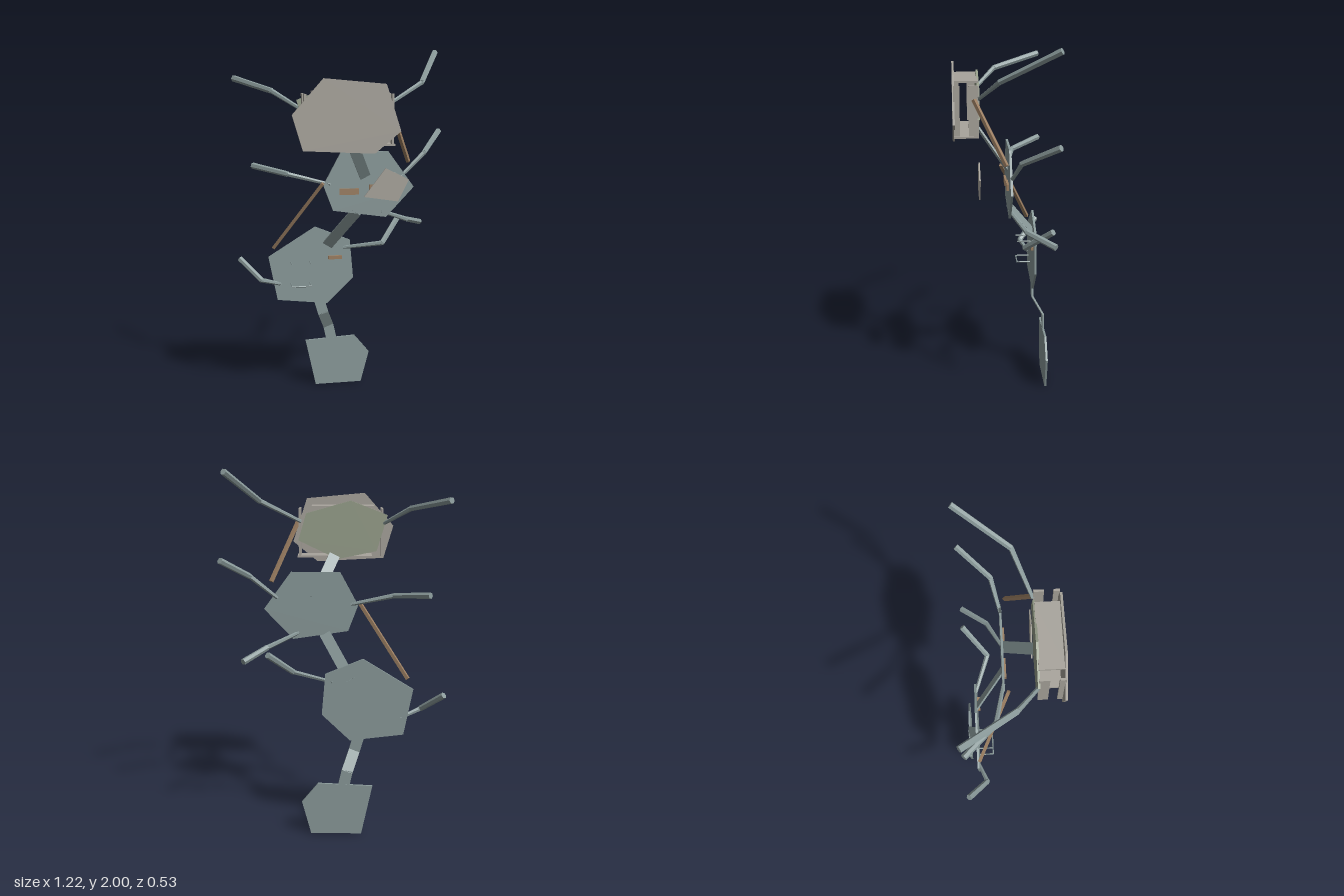
import * as THREE from 'three';

const mat = (color) => new THREE.MeshStandardMaterial({ color, flatShading: true, side: THREE.DoubleSide });
const slate = mat(0x8a9a9a), stone = mat(0xa8a49c), olive = mat(0x98a08c), wood = mat(0x9c7f62);
const V = (p) => new THREE.Vector3(...p);

export function createModel() {
  const root = new THREE.Group();

  const add = (parent, name, geometry, material) => {
    const mesh = new THREE.Mesh(geometry, material);
    mesh.name = name;
    parent.add(mesh);
    return mesh;
  };
  const group = (name) => {
    const g = new THREE.Group();
    g.name = name;
    root.add(g);
    return g;
  };

  // Flat polygonal plate centred on depth z
  const plate = (parent, name, points, z, material, depth = 0.012) => {
    const shape = new THREE.Shape(points.map(([x, y]) => new THREE.Vector2(x, y)));
    const geometry = new THREE.ExtrudeGeometry(shape, { depth, bevelEnabled: false });
    add(parent, name, geometry.translate(0, 0, z - depth / 2), material);
  };

  const box = (parent, name, x0, x1, y0, y1, z0, z1, material) =>
    add(parent, name, new THREE.BoxGeometry(x1 - x0, y1 - y0, z1 - z0), material)
      .position.set((x0 + x1) / 2, (y0 + y1) / 2, (z0 + z1) / 2);

  // Faceted rod between two points
  const rod = (parent, name, a, b, r0, r1, sides, material) => {
    const start = V(a), dir = V(b).sub(start);
    const m = add(parent, name, new THREE.CylinderGeometry(r1, r0, dir.length(), sides), material);
    m.position.copy(start).addScaledVector(dir, 0.5);
    m.quaternion.setFromUnitVectors(new THREE.Vector3(0, 1, 0), dir.normalize());
  };

  // Flat strap along a path, its width lying parallel to the plates
  const strap = (name, path, width = 0.062) => {
    const g = group(name);
    for (let i = 0; i < path.length - 1; i++) {
      const a = V(path[i]), dir = V(path[i + 1]).sub(a), length = dir.length();
      const m = add(g, 'strapSegment', new THREE.BoxGeometry(width, length + 0.008, 0.01), slate);
      m.position.copy(a).addScaledVector(dir, 0.5);
      dir.normalize();
      const side = new THREE.Vector3(dir.y, -dir.x, 0).normalize();
      m.quaternion.setFromRotationMatrix(
        new THREE.Matrix4().makeBasis(side, dir, side.clone().cross(dir)));
    }
  };

  // Body plates
  plate(root, 'basePlate', [[-0.21, 0.285], [-0.15, 0], [0.13, 0], [0.18, 0.19], [0.09, 0.3]], -0.25, slate);
  plate(root, 'lowerPlate', [[-0.155, 0.995], [-0.43, 0.825], [-0.38, 0.565], [-0.085, 0.53],
    [0.07, 0.68], [0.05, 0.91]], -0.19, slate);
  plate(root, 'middlePlate', [[-0.03, 1.445], [-0.13, 1.26], [-0.075, 1.115], [0.23, 1.07],
    [0.39, 1.24], [0.24, 1.445]], -0.031, slate);
  plate(root, 'smallFrontPlate', [[0.19, 1.37], [0.07, 1.215], [0.26, 1.185], [0.32, 1.305]], 0.13, stone, 0.008);

  // Head: two plates joined by shelves and side posts
  const head = group('head');
  plate(head, 'headFrontPlate', [[-0.17, 1.855], [-0.335, 1.67], [-0.28, 1.485], [0.1, 1.465],
    [0.24, 1.58], [0.16, 1.825]], 0.26, stone);
  plate(head, 'headBackPlate', [[-0.09, 1.82], [-0.295, 1.74], [-0.235, 1.54], [-0.015, 1.495],
    [0.205, 1.6], [0.16, 1.75]], 0.13, olive);
  box(head, 'topShelf', -0.22, 0.13, 1.78, 1.79, 0.13, 0.26, stone);
  box(head, 'bottomShelf', -0.21, 0.21, 1.503, 1.513, 0.13, 0.26, stone);
  for (const x of [-0.265, 0.197])
    for (const [z0, z1] of [[0.13, 0.182], [0.228, 0.26]])
      box(head, 'sidePost', x - 0.006, x + 0.006, 1.51, 1.775, z0, z1, stone);

  // Straps linking the plates
  strap('baseStrap', [[-0.05, 0.28, -0.25], [-0.07, 0.37, -0.25], [-0.11, 0.47, -0.19], [-0.13, 0.54, -0.19]]);
  strap('middleStrap', [[-0.085, 0.88, -0.19], [0.055, 1.1, -0.031]]);
  strap('neckStrap', [[0.11, 1.3, -0.031], [0.0, 1.52, 0.13]]);

  // Jointed arms: plate, elbow, tip
  const arms = {
    headLeftArm: [[0.19, 1.705, 0.13], [0.41, 1.825, 0.032], [0.563, 1.988, -0.25]],
    headRightArm: [[-0.275, 1.695, 0.13], [-0.415, 1.785, 0.02], [-0.6, 1.845, -0.25]],
    middleRightArm: [[-0.09, 1.265, -0.031], [-0.325, 1.322, -0.08], [-0.505, 1.353, -0.25]],
    middleLeftUpperArm: [[0.315, 1.3, -0.031], [0.46, 1.427, -0.075], [0.595, 1.535, -0.25]],
    middleLeftLowerArm: [[0.2, 1.105, -0.031], [0.37, 1.038, -0.11], [0.488, 0.992, -0.25]],
    lowerLeftArm: [[0.01, 0.865, -0.19], [0.228, 0.9, -0.113], [0.357, 1.03, -0.25]],
    lowerRightArm: [[-0.36, 0.66, -0.19], [-0.475, 0.7, -0.145], [-0.59, 0.808, -0.25]],
  };
  for (const [name, [a, b, c]] of Object.entries(arms)) {
    const g = group(name);
    rod(g, 'innerArm', a, b, 0.01, 0.014, 6, slate);
    rod(g, 'outerArm', b, c, 0.016, 0.018, 6, slate);
    add(g, 'elbow', new THREE.IcosahedronGeometry(0.016, 0), slate).position.set(...b);
  }

  // Wooden sticks and cleats
  rod(root, 'leftStick', [0.205, 1.705, 0.155], [0.35, 1.388, -0.005], 0.013, 0.013, 4, wood);
  rod(root, 'rightStick', [-0.135, 1.275, -0.005], [-0.4, 0.88, -0.18], 0.013, 0.013, 4, wood);
  box(root, 'middleCleat', -0.04, 0.07, 1.205, 1.24, -0.03, -0.013, wood);
  box(root, 'middleCleat', 0.13, 0.24, 1.225, 1.26, -0.03, -0.013, wood);
  box(root, 'lowerCleat', -0.08, 0, 0.8, 0.82, -0.19, -0.168, wood);

  // Wire hook and pins on the lower plate
  const hook = group('wireHook');
  for (const x of [-0.302, -0.19]) {
    rod(hook, 'hookSide', [x, 0.66, -0.19], [x, 0.66, -0.105], 0.004, 0.004, 4, slate);
    rod(root, 'pin', [x, 0.79, -0.19], [x, 0.79, -0.105], 0.004, 0.004, 4, slate);
  }
  rod(hook, 'hookFront', [-0.304, 0.66, -0.105], [-0.188, 0.66, -0.105], 0.004, 0.004, 4, slate);

  return root;
}
